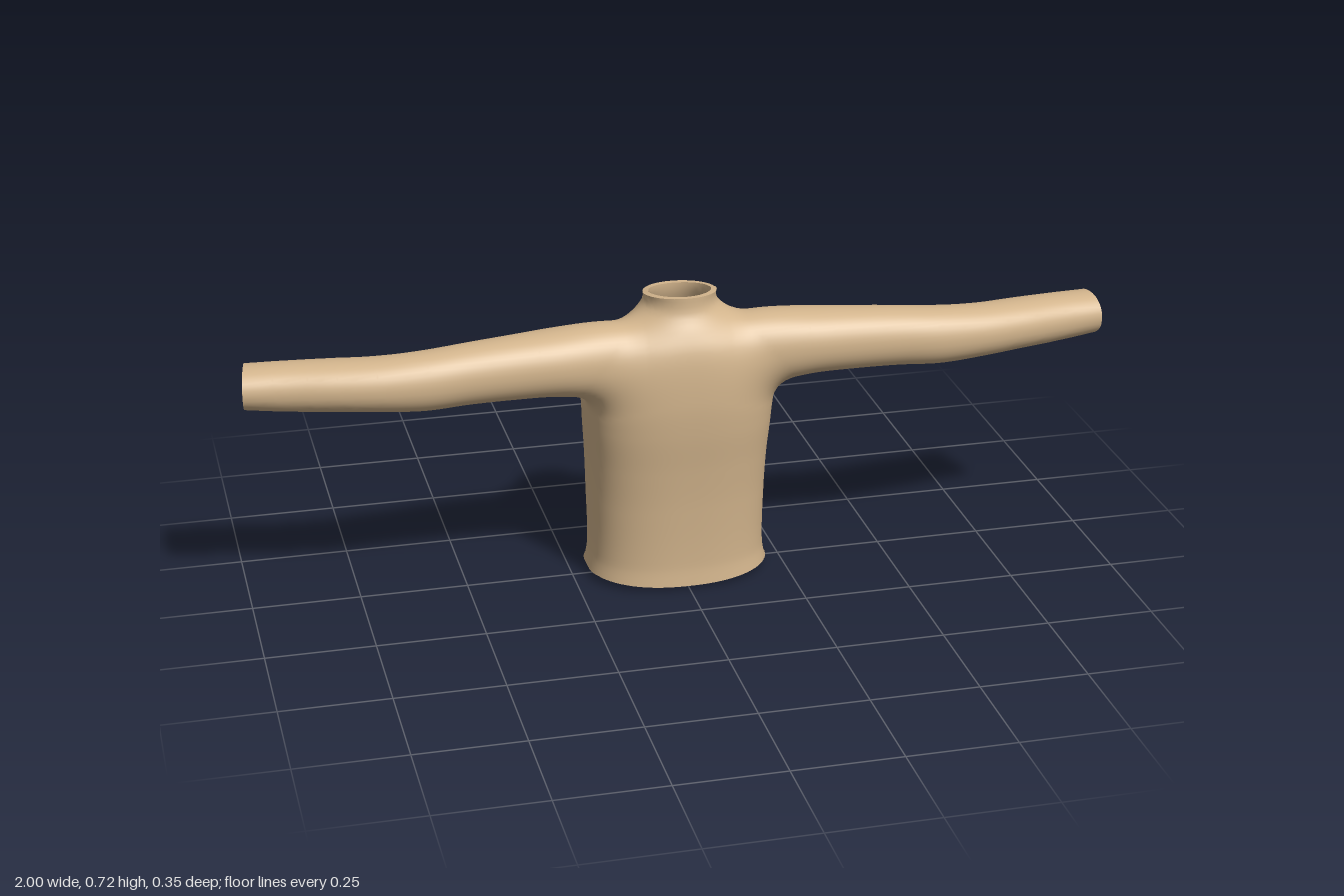
import * as THREE from 'three';

// Torso sections by height: [y, half width, front z, back z, squareness]
const TORSO = [
  [0.00, 0.216, 0.142, -0.168, 2.5], [0.06, 0.206, 0.138, -0.163, 2.5],
  [0.20, 0.207, 0.145, -0.173, 2.6], [0.30, 0.210, 0.155, -0.172, 2.7],
  [0.40, 0.217, 0.168, -0.160, 2.7], [0.48, 0.220, 0.173, -0.142, 2.6],
  [0.55, 0.200, 0.168, -0.112, 2.4], [0.60, 0.165, 0.158, -0.087, 2.2],
  [0.64, 0.120, 0.140, -0.066, 2.0], [0.67, 0.093, 0.125, -0.054, 2.0],
  [0.69, 0.083, 0.121, -0.050, 2.0], [0.72, 0.085, 0.120, -0.050, 2.0],
];
// Sleeve sections by distance from the middle: [x, top y, bottom y, front z, back z]
const SLEEVE = [
  [0.10, 0.652, 0.470, 0.145, 0.000], [0.20, 0.655, 0.482, 0.150, -0.005],
  [0.30, 0.651, 0.497, 0.155, 0.000], [0.40, 0.645, 0.501, 0.155, 0.012],
  [0.50, 0.638, 0.501, 0.155, 0.020], [0.60, 0.630, 0.497, 0.156, 0.025],
  [0.70, 0.624, 0.502, 0.150, 0.019], [0.80, 0.622, 0.507, 0.136, 0.003],
  [0.90, 0.620, 0.511, 0.118, -0.009], [1.00, 0.617, 0.520, 0.104, -0.020],
];
const STEP = 0.0125, WALL = 0.013;
const LOW = [-1.05, -0.05, -0.225], COUNT = [169, 66, 37];

// Smooth interpolation between the rows of a section table
function section(rows, t) {
  const last = rows.length - 1;
  if (t <= rows[0][0]) return rows[0];
  if (t >= rows[last][0]) return rows[last];
  let i = 0;
  while (rows[i + 1][0] < t) i++;
  const a = rows[Math.max(i - 1, 0)], b = rows[i], c = rows[i + 1], d = rows[Math.min(i + 2, last)];
  const w = c[0] - b[0], s = (t - b[0]) / w, s2 = s * s, s3 = s2 * s;
  return b.map((v, k) => {
    const m0 = (c[k] - a[k]) / (c[0] - a[0]) * w, m1 = (d[k] - v) / (d[0] - b[0]) * w;
    return v * (2 * s3 - 3 * s2 + 1) + m0 * (s3 - 2 * s2 + s) + c[k] * (3 * s2 - 2 * s3) + m1 * (s3 - s2);
  });
}

// Approximate distance to an oval cross-section
function oval(u, v, ru, rv, n) {
  const r = Math.pow(Math.pow(Math.abs(u / ru), n) + Math.pow(Math.abs(v / rv), n), 1 / n);
  return (r - 1) * Math.min(ru, rv);
}

// Torso and sleeves joined with a soft fillet
function field(x, y, z) {
  const [, half, front, back, n] = section(TORSO, y);
  const torso = oval(x, z - (front + back) / 2, half, (front - back) / 2, n);
  const [, top, bottom, sf, sb] = section(SLEEVE, Math.abs(x));
  const sleeve = oval(y - (top + bottom) / 2, z - (sf + sb) / 2, (top - bottom) / 2, (sf - sb) / 2, 2.15);
  const k = 0.045, h = Math.max(k - Math.abs(torso - sleeve), 0) / k;
  return Math.min(torso, sleeve) - h * h * k / 4;
}

function gradient(p) {
  const e = 0.002, [x, y, z] = p;
  return new THREE.Vector3(
    field(x + e, y, z) - field(x - e, y, z),
    field(x, y + e, z) - field(x, y - e, z),
    field(x, y, z + e) - field(x, y, z - e)).divideScalar(2 * e);
}

// Trim lines of cuffs, neck and hem: moves p onto the line if it lies beyond
function trim(p) {
  const cuff = 0.983 + 0.165 * p[2], neck = 0.702 + 0.11 * p[2];
  const hem = 0.005 + 0.025 * p[2] + 0.012 * Math.min(1, (p[0] / 0.2) ** 2);
  if (Math.abs(p[0]) > cuff) p[0] = Math.sign(p[0]) * cuff;
  else if (p[1] > neck) p[1] = neck;
  else if (p[1] < hem) p[1] = hem;
  else return false;
  return true;
}

// Turns the joined form into a quad skin with open ends
function buildSkin() {
  const [nx, ny, nz] = COUNT, stride = [1, nx, nx * ny];
  const at = (c, i) => LOW[c] + i * STEP;
  const values = new Float32Array(nx * ny * nz);
  for (let k = 0, q = 0; k < nz; k++) for (let j = 0; j < ny; j++) for (let i = 0; i < nx; i++) {
    values[q++] = field(at(0, i), at(1, j), at(2, k));
  }
  const points = [], normals = [], beyond = [], cells = new Map();

  // One point per grid cell that the surface crosses
  for (let k = 0; k < nz - 1; k++) for (let j = 0; j < ny - 1; j++) for (let i = 0; i < nx - 1; i++) {
    const q = i + j * stride[1] + k * stride[2], base = [i, j, k], sum = [0, 0, 0];
    let hits = 0;
    for (let corner = 0; corner < 8; corner++) for (let a = 0; a < 3; a++) {
      if (corner >> a & 1) continue;
      const bits = [corner & 1, corner >> 1 & 1, corner >> 2 & 1];
      const s = q + bits[0] + bits[1] * stride[1] + bits[2] * stride[2];
      const f0 = values[s], f1 = values[s + stride[a]];
      if ((f0 < 0) === (f1 < 0)) continue;
      for (let c = 0; c < 3; c++) sum[c] += bits[c] + (c === a ? f0 / (f0 - f1) : 0);
      hits++;
    }
    if (!hits) continue;
    const p = sum.map((v, c) => at(c, base[c] + v / hits));
    for (let pass = 0; pass < 2; pass++) {
      const g = gradient(p), f = field(...p) / Math.max(g.lengthSq(), 0.1);
      [g.x, g.y, g.z].forEach((v, c) => { p[c] -= THREE.MathUtils.clamp(f * v, -0.006, 0.006); });
    }
    beyond.push(trim(p));
    cells.set(q, points.length);
    points.push(p);
    normals.push(gradient(p).normalize().toArray());
  }

  // One quad around each crossed grid edge
  const quads = [];
  for (let k = 1; k < nz - 1; k++) for (let j = 1; j < ny - 1; j++) for (let i = 1; i < nx - 1; i++) {
    const q = i + j * stride[1] + k * stride[2];
    for (let a = 0; a < 3; a++) {
      if ((values[q] < 0) === (values[q + stride[a]] < 0)) continue;
      const b = stride[(a + 1) % 3], c = stride[(a + 2) % 3];
      const quad = [q - b - c, q - c, q, q - b].map(n => cells.get(n));
      if (quad.some(v => v === undefined) || quad.every(v => beyond[v])) continue;
      quads.push(values[q] < 0 ? quad : quad.reverse());
    }
  }
  return { points, normals, quads };
}

function surface(points, normals, quads) {
  const geometry = new THREE.BufferGeometry();
  geometry.setAttribute('position', new THREE.Float32BufferAttribute(points.flat(), 3));
  if (normals) geometry.setAttribute('normal', new THREE.Float32BufferAttribute(normals.flat(), 3));
  geometry.setIndex(quads.flatMap(([a, b, c, d]) => [a, b, c, a, c, d]));
  if (!normals) geometry.computeVertexNormals();
  return geometry;
}

export function createModel() {
  const group = new THREE.Group();
  group.name = 'sweater';
  const knit = new THREE.MeshStandardMaterial({ color: 0xd2b48c });
  knit.name = 'tan knit';
  const add = (name, geometry) => {
    const mesh = new THREE.Mesh(geometry, knit);
    mesh.name = name;
    group.add(mesh);
  };

  // Outer fabric and the lining just inside it
  const { points, normals, quads } = buildSkin();
  const inner = points.map((p, i) => p.map((v, c) => v - WALL * normals[i][c]));
  add('outerFabric', surface(points, normals, quads));
  add('lining', surface(inner, normals.map(n => n.map(v => -v)), quads.map(q => [...q].reverse())));

  // Rims closing the wall at the cuffs, neck and hem
  const edges = new Set();
  quads.forEach(q => q.forEach((v, i) => edges.add(v + '_' + q[(i + 1) % 4])));
  const rim = [], rimQuads = [];
  for (const edge of edges) {
    const [a, b] = edge.split('_').map(Number);
    if (edges.has(b + '_' + a)) continue;
    const n = rim.length;
    rim.push(points[b], points[a], inner[a], inner[b]);
    rimQuads.push([n, n + 1, n + 2, n + 3]);
  }
  add('openingRims', surface(rim, null, rimQuads));
  return group;
}
